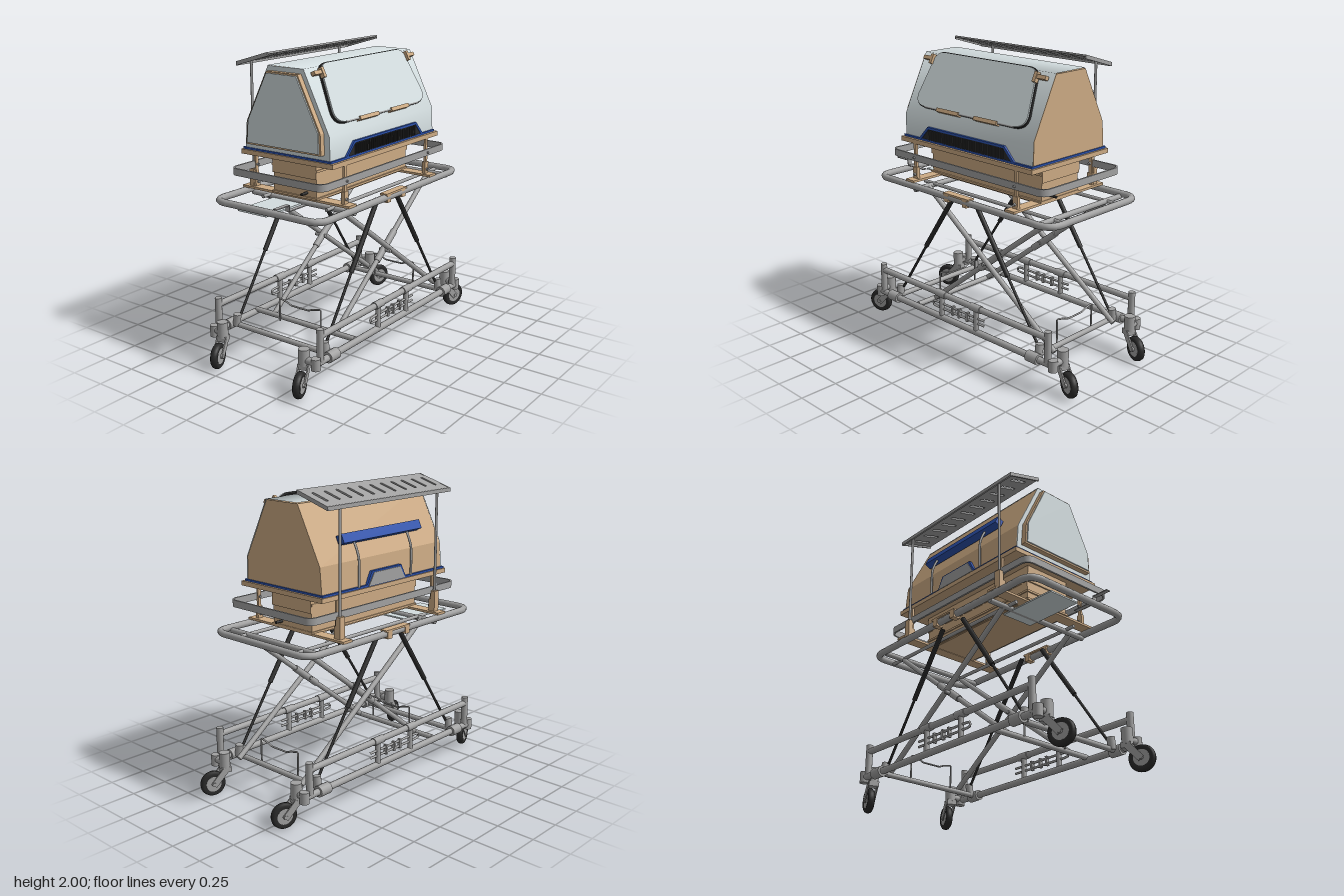
import * as THREE from 'three';

const V = (x, y, z) => new THREE.Vector3(x, y, z);
const paint = (name, color, side = THREE.FrontSide) => {
  const m = new THREE.MeshStandardMaterial({ color, side });
  m.name = name;
  return m;
};

export function createModel() {
  const root = new THREE.Group();
  root.name = 'transportIncubator';
  const metal = paint('greyMetal', 0xa2a2a2);
  const tan = paint('tanPlastic', 0xcdab84);
  const shell = paint('paleShell', 0xd3dddf, THREE.DoubleSide);
  const black = paint('blackRubber', 0x2a2a2a);
  const blue = paint('blueTrim', 0x2c52ae);

  const add = (name, geo, mat, parent = root) => {
    const m = new THREE.Mesh(geo, mat);
    m.name = name;
    parent.add(m);
    return m;
  };
  // Box given by its limits on each axis
  const box = (name, x0, x1, y0, y1, z0, z1, mat, parent) => {
    const m = add(name, new THREE.BoxGeometry(x1 - x0, y1 - y0, z1 - z0), mat, parent);
    m.position.set((x0 + x1) / 2, (y0 + y1) / 2, (z0 + z1) / 2);
    return m;
  };
  // Straight round bar between two points
  const rod = (name, a, b, r, mat = metal, parent = root, sides = 14) => {
    const d = b.clone().sub(a);
    const m = add(name, new THREE.CylinderGeometry(r, r, d.length(), sides), mat, parent);
    m.position.copy(a).addScaledVector(d, 0.5);
    m.quaternion.setFromUnitVectors(V(0, 1, 0), d.normalize());
    return m;
  };
  const pipe = (name, pts, r, mat = metal, closed = false, tension = 0.5, seg = 60) =>
    add(name, new THREE.TubeGeometry(
      new THREE.CatmullRomCurve3(pts, closed, 'catmullrom', tension), seg, r, 10, closed), mat);
  const poly = (pts) => new THREE.Shape(pts.map((p) => new THREE.Vector2(...p)));
  const slab = (shape, depth) =>
    new THREE.ExtrudeGeometry(shape, { depth, bevelEnabled: false, curveSegments: 8 });
  const roundRect = (hx, hy, r, S = THREE.Shape) => {
    const s = new S();
    s.absarc(hx - r, hy - r, r, 0, Math.PI / 2);
    s.absarc(r - hx, hy - r, r, Math.PI / 2, Math.PI);
    s.absarc(r - hx, r - hy, r, Math.PI, Math.PI * 1.5);
    s.absarc(hx - r, r - hy, r, Math.PI * 1.5, Math.PI * 2);
    s.closePath();
    return s;
  };

  // Hood: tan core with end and back, pale skin over the front and top
  const core = add('hoodBody', slab(poly([[0.332, 1.385], [0.329, 1.54], [0.141, 1.917],
    [-0.128, 1.917], [-0.31, 1.56], [-0.325, 1.385]]), 1.145), tan);
  core.rotation.y = -Math.PI / 2;
  core.position.x = 0.572;
  const skin = [[0.34, 1.39], [0.335, 1.54], [0.145, 1.922], [-0.128, 1.923]];
  const pos = [], idx = [];
  skin.forEach(([z, y], i) => {
    pos.push(-0.577, y, z, 0.574, y, z);
    const k = i * 2;
    if (i) idx.push(k - 2, k - 1, k + 1, k - 2, k + 1, k);
  });
  const skinGeo = new THREE.BufferGeometry();
  skinGeo.setAttribute('position', new THREE.Float32BufferAttribute(pos, 3));
  skinGeo.setIndex(idx);
  skinGeo.computeVertexNormals();
  add('hoodSkin', skinGeo, shell);

  // End panel and end door
  const endProfile = (s) => poly([[0.34, 1.39], [0.335, 1.54], [0.145, 1.921], [-0.128, 1.921],
    [-0.31, 1.56], [-0.325, 1.39]].map(([z, y]) => [z * s, 1.675 + (y - 1.675) * s]));
  [['endPanel', 1, -0.571, 0.007, shell], ['endDoorFrame', 0.88, -0.578, 0.035, tan],
    ['endDoorPanel', 0.84, -0.6, 0.022, shell]].forEach(([name, s, x, depth, mat]) => {
    const m = add(name, slab(endProfile(s), depth), mat);
    m.rotation.y = -Math.PI / 2;
    m.position.x = x;
  });

  // Front door lying on the sloping face
  const door = new THREE.Group();
  door.name = 'frontDoor';
  door.position.set(0, 1.54, 0.335);
  door.rotation.x = -Math.atan2(0.19, 0.382);
  root.add(door);
  const doorShape = (k) => {
    const s = new THREE.Shape();
    s.moveTo(-0.4 + k, 0.055 + k);
    s.lineTo(0.4 - k, 0.055 + k);
    s.quadraticCurveTo(0.5 - k, 0.06 + k, 0.495 - k, 0.14);
    s.lineTo(0.46 - k, 0.36);
    s.quadraticCurveTo(0.45 - k, 0.44 - k, 0.38 - k, 0.44 - k);
    s.lineTo(-0.38 + k, 0.44 - k);
    s.quadraticCurveTo(-0.45 + k, 0.44 - k, -0.46 + k, 0.36);
    s.lineTo(-0.495 + k, 0.14);
    s.quadraticCurveTo(-0.5 + k, 0.06 + k, -0.4 + k, 0.055 + k);
    return s;
  };
  add('doorSeal', slab(doorShape(0), 0.016), black, door);
  add('doorPanel', slab(doorShape(0.005), 0.026), shell, door);
  for (const s of [-1, 1]) {
    box('doorHinge', s * 0.17 - 0.1, s * 0.17 + 0.1, 0.045, 0.07, 0, 0.035, tan, door);
    box('doorLatch', s * 0.495 - 0.045, s * 0.495 + 0.045, 0.37, 0.395, 0.01, 0.04, tan, door);
    box('doorLatchGrip', s * 0.46 - 0.012, s * 0.46 + 0.012, 0.345, 0.41, 0.015, 0.045, tan, door);
  }
  rod('doorHingeBar', V(-0.4, 0.06, 0.02), V(0.4, 0.06, 0.02), 0.007, metal, door);

  // Blue flange, front vent panel and its raised trim
  box('flange', -0.585, 0.58, 1.38, 1.393, -0.34, 0.352, blue);
  add('ventPanel', slab(poly([[-0.425, 1.385], [0.425, 1.385], [0.342, 1.467], [-0.342, 1.467]]), 0.012), black)
    .position.z = 0.335;
  for (let i = 0; i < 33; i++)
    box('ventRib', -0.339 + i * 0.021, -0.331 + i * 0.021, 1.39, 1.46, 0.345, 0.352, black);
  const trim = [[-0.58, 1.393], [-0.432, 1.393], [-0.348, 1.479], [0.348, 1.479], [0.432, 1.393], [0.58, 1.393]];
  const inner = [[0.58, 1.38], [0.42, 1.38], [0.34, 1.465], [-0.34, 1.465], [-0.42, 1.38], [-0.58, 1.38]];
  add('frontTrim', slab(poly([...inner, ...trim]), 0.02), blue).position.z = 0.332;
  // Rear recess panel
  const trap = (w, h) => poly([[-w, 1.385], [w, 1.385], [w - 0.05, h], [0.05 - w, h]]);
  add('rearPanelTrim', slab(trap(0.19, 1.475), 0.02), blue).position.z = -0.34;
  add('rearPanel', slab(trap(0.175, 1.465), 0.022), metal).position.z = -0.345;

  // Deck and base cabinet
  box('deck', -0.595, 0.595, 1.35, 1.38, -0.348, 0.37, tan);
  box('cabinetUpper', -0.51, 0.51, 1.24, 1.35, -0.167, 0.18, tan);
  box('cabinetLower', -0.5, 0.5, 1.1, 1.24, -0.165, 0.176, tan);
  for (const y of [1.108, 1.165, 1.285]) box('cabinetLedge', -0.51, 0.505, y, y + 0.014, -0.172, 0.186, tan);
  for (const x of [-0.46, 0.46]) {
    box('crossPlate', x - 0.04, x + 0.04, 1.097, 1.112, -0.43, 0.42, tan);
    for (const z of [-0.345, 0.36]) {
      box('bracketPost', x - 0.02, x + 0.02, 1.11, 1.19, z - 0.012, z + 0.012, tan);
      box('bumperPost', x - 0.012, x + 0.012, 1.19, 1.35, z - 0.008, z + 0.008, tan);
      rod('bracketBolt', V(x, 1.14, z - 0.025), V(x, 1.14, z + 0.025), 0.009);
      rod('bumperBolt', V(x, 1.255, z - 0.02), V(x, 1.255, z + 0.025), 0.008);
    }
    const s = Math.sign(x);
    rod('lockPin', V(s * 0.5, 1.145, 0.1), V(s * 0.555, 1.145, 0.1), 0.009, black);
  }

  // Flat bumper strip around the cabinet
  const ring = roundRect(0.7, 0.366, 0.06);
  ring.holes.push(roundRect(0.688, 0.354, 0.048, THREE.Path));
  const bumper = add('bumper', slab(ring, 0.046), metal);
  bumper.rotation.x = -Math.PI / 2;
  bumper.position.set(0, 1.233, 0.01);

  // Slotted canopy on two poles
  const roof = roundRect(0.58, 0.13, 0.004);
  for (let i = 0; i < 11; i++) {
    const x = -0.51 + i * 0.102, slot = new THREE.Path();
    slot.absarc(x, 0.055, 0.011, 0, Math.PI);
    slot.absarc(x, -0.055, 0.011, Math.PI, Math.PI * 2);
    slot.closePath();
    roof.holes.push(slot);
  }
  const canopy = add('canopy', slab(roof, 0.012), metal);
  canopy.rotation.x = 1.28;
  canopy.position.set(-0.005, 1.963, -0.25);
  box('canopyLip', -0.585, 0.575, 1.9, 1.925, -0.38, -0.368, metal);
  for (const x of [-0.585, 0.565]) {
    const rib = box('canopyEnd', x, x + 0.01, -0.012, 0.012, -0.13, 0.13, metal);
    rib.position.set(x + 0.005, 1.951, -0.25);
    rib.rotation.x = -0.291;
  }
  for (const x of [-0.46, 0.46]) {
    rod('canopyPole', V(x, 1.12, -0.366), V(x, 1.92, -0.366), 0.009);
    box('poleClamp', x - 0.022, x + 0.022, 1.11, 1.25, -0.385, -0.35, tan);
  }

  // Blue bolster on curved rear arms
  const bolster = box('bolster', -0.37, 0.37, -0.03, 0.03, -0.025, 0.025, blue);
  bolster.position.set(0, 1.694, -0.282);
  bolster.rotation.x = 0.45;
  for (const x of [-0.24, 0.26])
    pipe('bolsterArm', [V(x, 1.68, -0.29), V(x, 1.62, -0.32), V(x, 1.55, -0.338), V(x, 1.39, -0.338)], 0.008);

  // Upper stretcher frame
  pipe('upperFrame', roundRect(0.785, 0.415, 0.08).getSpacedPoints(72).slice(0, -1)
    .map((p) => V(p.x, 1.075, p.y)), 0.023, metal, true, 0.5, 144);
  for (const [x, y] of [[0.66, 1.06], [-0.42, 1.05], [0.66, 0.205], [-0.66, 0.205], [-0.42, 0.22]])
    rod('crossBar', V(x, y, -0.41), V(x, y, 0.41), 0.018);
  for (const z of [-0.415, 0.41]) {
    box('railClamp', -0.115, 0.115, 1.092, 1.104, z - 0.026, z + 0.026, tan);
    for (const x of [-0.09, 0.08]) box('strutMount', x - 0.02, x + 0.02, 1.045, 1.097, z - 0.026, z + 0.026, tan);
  }
  for (const z of [-0.26, 0.25]) rod('underRail', V(-0.5, 1.06, z), V(0.77, 1.06, z), 0.012);
  box('sideShelf', -0.77, -0.35, 1.035, 1.045, -0.23, 0, shell);
  box('handleStrip', -0.88, -0.76, 1.137, 1.143, 0.15, 0.18, metal);
  box('handleDrop', -0.766, -0.76, 1.1, 1.143, 0.15, 0.18, metal);
  box('handleFoot', -0.76, -0.6, 1.1, 1.106, 0.15, 0.18, metal);

  // Scissor legs and gas struts
  for (const s of [-1, 1]) {
    rod('scissorLegOuter', V(-0.42, 1.05, s * 0.292), V(0.73, 0.22, s * 0.292), 0.018);
    const a = V(0.65, 1.05, s * 0.258), b = V(-0.42, 0.22, s * 0.258);
    rod('scissorLegInner', a, b, 0.017);
    rod('legSleeve', a.clone().lerp(b, 0.38), a.clone().lerp(b, 0.57), 0.023);
    rod('pivotPin', V(0.116, 0.636, s * 0.23), V(0.116, 0.636, s * 0.315), 0.012);
    for (const e of [-1, 1]) {
      rod('strutBody', V(e * 0.1, 1.06, s * 0.355), V(e * 0.385, 0.645, s * 0.355), 0.016, black);
      rod('strutRod', V(e * 0.385, 0.645, s * 0.355), V(e * 0.64, 0.27, s * 0.355), 0.009, black);
      rod('strutFoot', V(e * 0.665, 0.2, s * 0.37), V(e * 0.665, 0.28, s * 0.36), 0.026);
    }
  }

  // Lower side frames
  for (const s of [-1, 1]) {
    const z = s * 0.415;
    rod('lowerRail', V(-0.83, 0.205, z), V(0.83, 0.205, z), 0.022);
    rod('guardRail', V(-0.78, 0.375, z), V(0.78, 0.375, z), 0.021);
    for (const x of [-0.17, 0.16]) {
      rod('railLink', V(x, 0.205, z), V(x, 0.375, z), 0.018);
      rod('railCollar', V(x - 0.045, 0.375, z), V(x + 0.045, 0.375, z), 0.026);
    }
    pipe('slimLoop', [V(0.24, 0.305, z), V(-0.22, 0.305, z), V(-0.255, 0.288, z), V(-0.22, 0.27, z), V(0.24, 0.27, z)],
      0.008, metal, false, 0.3);
    for (const x of [-0.06, 0, 0.08]) box('loopTie', x - 0.008, x + 0.008, 0.255, 0.32, z - 0.012, z + 0.012, metal);
    for (const e of [-1, 1]) {
      rod('cornerPost', V(e * 0.782, 0.2, z), V(e * 0.782, 0.42, z), 0.023);
      rod('railSleeve', V(e * 0.665 - 0.045, 0.205, z), V(e * 0.665 + 0.045, 0.205, z), 0.036);
      rod('railKnuckle', V(e * 0.825, 0.17, z), V(e * 0.825, 0.245, z), 0.03);
    }
  }
  // Wire hoops between the side frames
  for (const x of [-0.46, 0.64])
    pipe('wireHoop', [V(x, 0.21, 0.17), V(x, 0.37, 0.17), V(x, 0.355, 0.1), V(x, 0.342, 0.07), V(x, 0.342, -0.07),
      V(x, 0.355, -0.1), V(x, 0.37, -0.17), V(x, 0.21, -0.17)], 0.006, metal, false, 0.05);

  // Swivel casters, trailing outwards and slightly forwards
  const tyre = new THREE.LatheGeometry([[0.05, -0.02], [0.07, -0.024], [0.08, -0.016], [0.084, 0],
    [0.08, 0.016], [0.07, 0.024], [0.05, 0.02]].map((p) => new THREE.Vector2(...p)), 32);
  for (const e of [-1, 1]) for (const pz of [-0.345, 0.325]) {
    const c = new THREE.Group();
    c.name = 'caster';
    c.position.set(e * 0.825, 0, pz);
    c.rotation.y = e > 0 ? -0.35 : Math.PI + 0.35;
    root.add(c);
    add('tyre', tyre, black, c).position.set(0.085, 0.085, 0);
    c.children[0].rotation.x = Math.PI / 2;
    rod('wheelHub', V(0.085, 0.085, -0.021), V(0.085, 0.085, 0.021), 0.051, metal, c, 24);
    rod('axle', V(0.085, 0.085, -0.038), V(0.085, 0.085, 0.038), 0.014, metal, c);
    for (const s of [-1, 1]) {
      const arm = box('forkArm', -0.022, 0.022, -0.065, 0.065, -0.004, 0.004, metal, c);
      arm.position.set(0.045, 0.125, s * 0.031);
      arm.rotation.z = 0.72;
    }
    box('forkCrown', -0.035, 0.03, 0.155, 0.19, -0.034, 0.034, metal, c);
    rod('swivelHousing', V(0, 0.18, 0), V(0, 0.285, 0), 0.036, metal, c, 20);
    rod('casterArm', V(e * 0.825, 0.215, pz), V(e * 0.825, 0.215, Math.sign(pz) * 0.415), 0.024);
  }
  return root;
}
